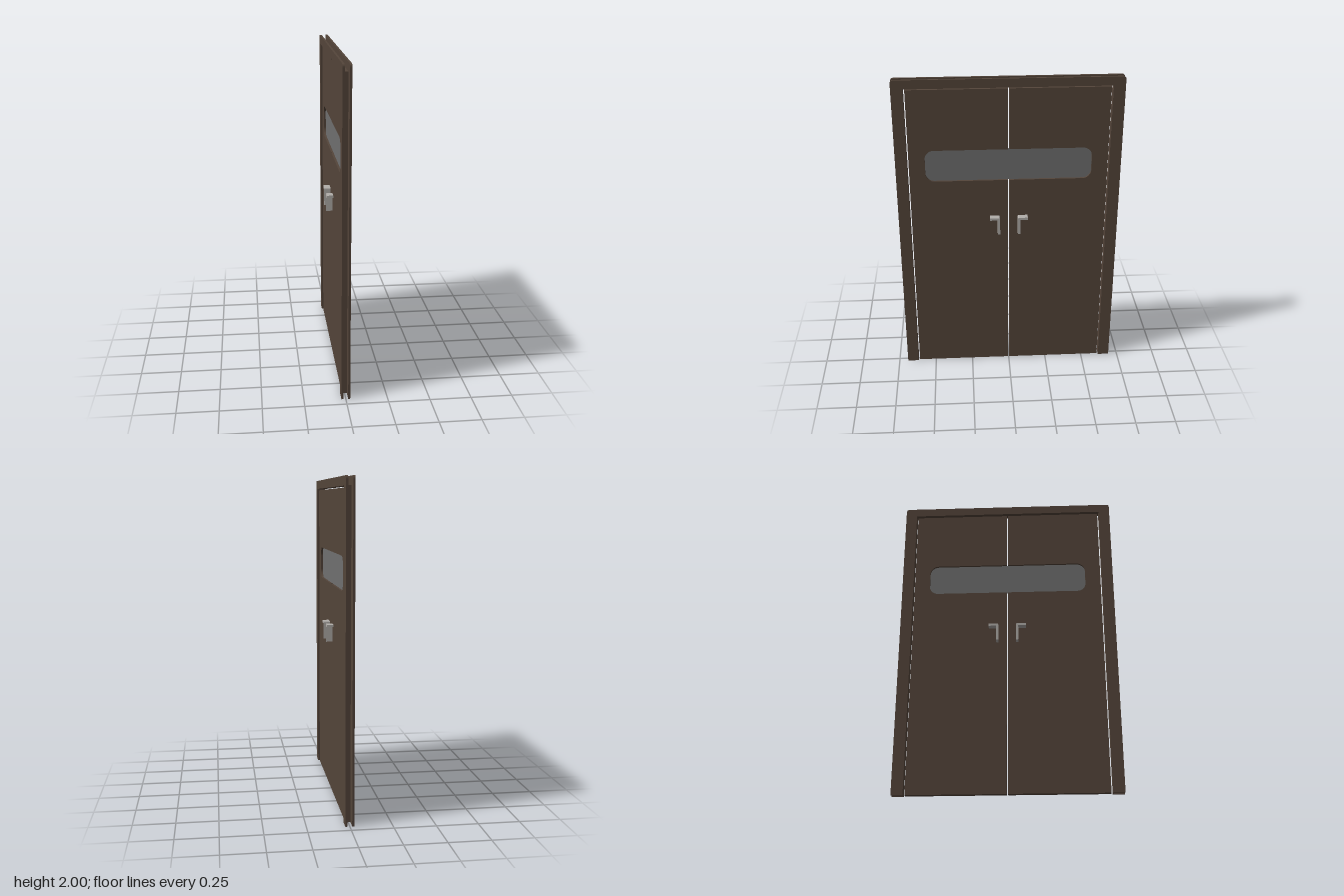
import * as THREE from 'three';

const material = (name, color) => {
  const m = new THREE.MeshStandardMaterial({ color });
  m.name = name;
  return m;
};

// Extrudes a shape drawn in (across, up) along x, from x0 to x1
function slab(name, shape, x0, x1, mat) {
  const geo = new THREE.ExtrudeGeometry(shape, { depth: x1 - x0, bevelEnabled: false, curveSegments: 8 });
  geo.translate(0, 0, x0);
  geo.rotateY(Math.PI / 2);
  const mesh = new THREE.Mesh(geo, mat);
  mesh.name = name;
  return mesh;
}

// Upside-down U: outer half width and height, inner half width and height, corner radius
function portalShape(w, h, iw, ih, r) {
  const s = new THREE.Shape();
  s.moveTo(iw, 0);
  s.lineTo(w, 0);
  s.lineTo(w, h - r);
  if (r) s.quadraticCurveTo(w, h, w - r, h);
  s.lineTo(-w + r, h);
  if (r) s.quadraticCurveTo(-w, h, -w, h - r);
  s.lineTo(-w, 0);
  s.lineTo(-iw, 0);
  s.lineTo(-iw, ih);
  s.lineTo(iw, ih);
  return s;
}

const WIN = { w: 0.512, y0: 1.345, y1: 1.55, r: 0.055 };

// One leaf with half of the rounded window cut from its meeting edge
function leafShape(side) {
  const { w, y0, y1, r } = WIN;
  const a = 0.004, b = 0.611, h = 1.936;
  const s = new THREE.Shape();
  s.moveTo(side * a, 0);
  s.lineTo(side * b, 0);
  s.lineTo(side * b, h);
  s.lineTo(side * a, h);
  s.lineTo(side * a, y1);
  s.lineTo(side * (w - r), y1);
  s.absarc(side * (w - r), y1 - r, r, Math.PI / 2, side > 0 ? 0 : Math.PI, side > 0);
  s.lineTo(side * w, y0 + r);
  s.absarc(side * (w - r), y0 + r, r, side > 0 ? 0 : Math.PI, side > 0 ? -Math.PI / 2 : Math.PI * 1.5, side > 0);
  s.lineTo(side * a, y0);
  return s;
}

function paneShape() {
  const { w, y0, y1, r } = WIN;
  const s = new THREE.Shape();
  s.moveTo(-w + r, y0);
  s.lineTo(w - r, y0);
  s.absarc(w - r, y0 + r, r, -Math.PI / 2, 0, false);
  s.lineTo(w, y1 - r);
  s.absarc(w - r, y1 - r, r, 0, Math.PI / 2, false);
  s.lineTo(-w + r, y1);
  s.absarc(-w + r, y1 - r, r, Math.PI / 2, Math.PI, false);
  s.lineTo(-w, y0 + r);
  s.absarc(-w + r, y0 + r, r, Math.PI, Math.PI * 1.5, false);
  return s;
}

// L profile: a hanging grip with a short arm pointing outwards
function handleShape(side) {
  const s = new THREE.Shape();
  s.moveTo(side * 0.056, 0.985);
  s.lineTo(side * 0.071, 0.985);
  s.lineTo(side * 0.071, 1.084);
  s.lineTo(side * 0.119, 1.084);
  s.lineTo(side * 0.119, 1.099);
  s.lineTo(side * 0.066, 1.099);
  s.quadraticCurveTo(side * 0.056, 1.099, side * 0.056, 1.089);
  return s;
}

export function createModel() {
  const wood = material('dark brown', 0x54453a);
  const glass = material('grey glass', 0x707070);
  const metal = material('handle metal', 0xb2aeaa);
  const model = new THREE.Group();
  model.name = 'doubleDoor';

  // Casings on both faces of the wall, joined by a thin jamb
  const casing = portalShape(0.692, 2, 0.62, 1.945, 0.02);
  model.add(slab('casingLeft', casing, 0.014, 0.0265, wood));
  model.add(slab('casingRight', casing, -0.0265, -0.014, wood));
  model.add(slab('jamb', portalShape(0.623, 1.948, 0.62, 1.945, 0), -0.014, 0.014, wood));

  // Leaves and their through handles
  for (const side of [1, -1]) {
    const label = side > 0 ? 'Back' : 'Front';
    model.add(slab('leaf' + label, leafShape(side), -0.016, 0.016, wood));
    model.add(slab('handleLeft' + label, handleShape(side), 0.016, 0.057, metal));
    model.add(slab('handleRight' + label, handleShape(side), -0.057, -0.016, metal));
  }

  // Window pane set between the faces of the leaves
  model.add(slab('windowPane', paneShape(), -0.003, 0.003, glass));
  return model;
}
